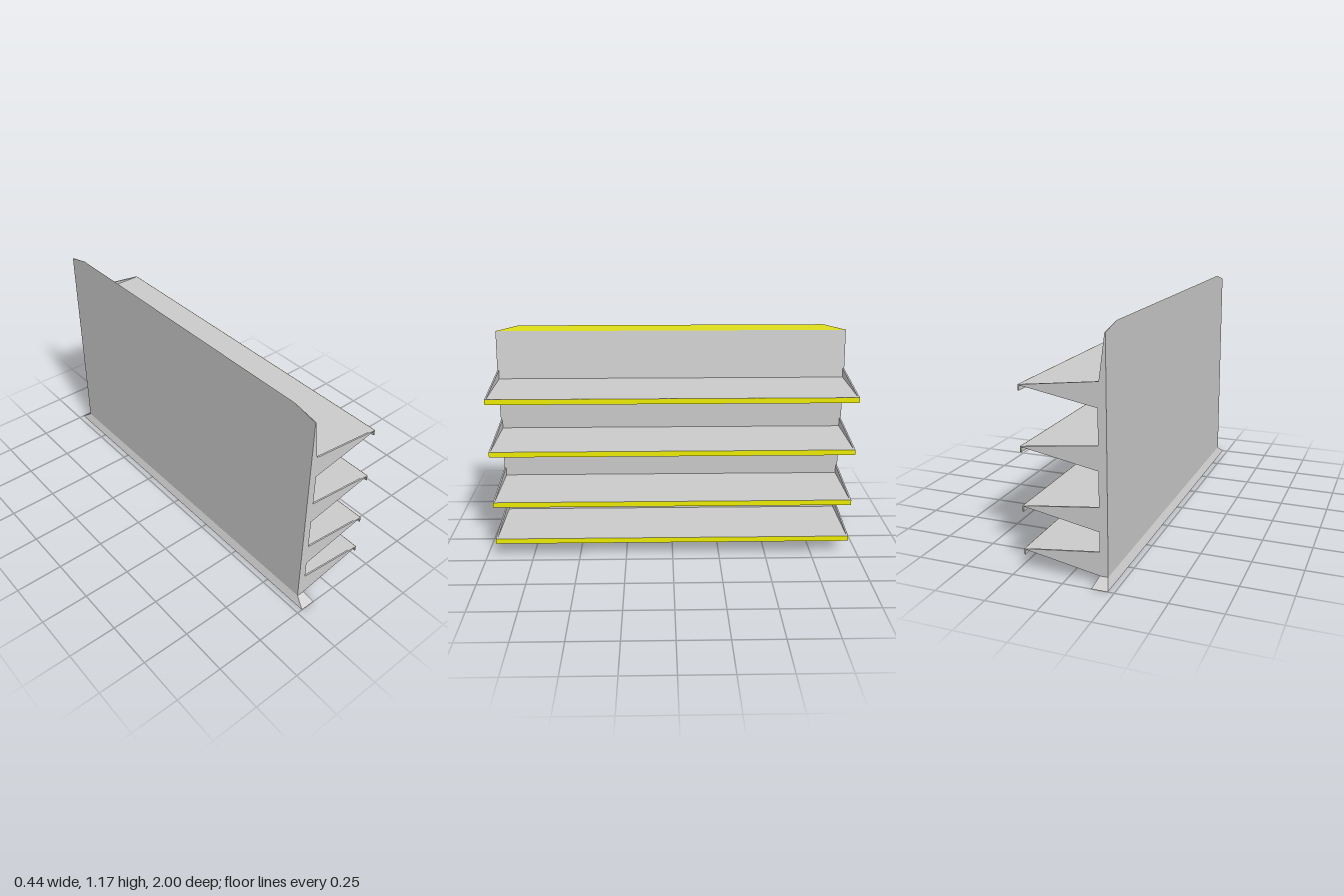
import * as THREE from 'three';
import { ConvexGeometry } from 'three/addons/geometries/ConvexGeometry.js';

const grey = new THREE.MeshStandardMaterial({ color: 0xcccccc, flatShading: true });
const yellow = new THREE.MeshStandardMaterial({ color: 0xeeee00, flatShading: true, side: THREE.DoubleSide });

const HALF = 0.945;                            // half length of the shelving
const BACK = -0.2, FACE = -0.16, FRONT = 0.21; // x of rear, panel face and shelf front
const TOP = 1.175, SHOULDER = 1.145;
const SHELF_Y = [0.11, 0.323, 0.607, 0.89];
const topShelf = SHELF_Y[3];
// x of the tapering panel face above the top shelf
const taperX = (y) => FACE + (BACK - FACE) * (y - topShelf) / (TOP - topShelf);

export function createModel() {
  const model = new THREE.Group();

  const add = (parent, name, geometry, material = grey) => {
    const mesh = new THREE.Mesh(geometry, material);
    mesh.name = name;
    parent.add(mesh);
    return mesh;
  };

  // Extrude an x-y profile along z, from z0 for a given depth
  const extrudeZ = (points, z0, depth) => {
    const shape = new THREE.Shape(points.map(([x, y]) => new THREE.Vector2(x, y)));
    return new THREE.ExtrudeGeometry(shape, { depth, bevelEnabled: false }).translate(0, 0, z0);
  };

  // Box given by its limits in x and y, spanning the full length
  const longBox = (x0, x1, y0, y1) =>
    new THREE.BoxGeometry(x1 - x0, y1 - y0, 2 * HALF).translate((x0 + x1) / 2, (y0 + y1) / 2, 0);

  // Splayed foot under the panel
  const foot = [];
  for (const s of [-1, 1]) {
    foot.push(new THREE.Vector3(-0.22, 0, s), new THREE.Vector3(-0.14, 0, s));
    foot.push(new THREE.Vector3(BACK, 0.04, s * HALF), new THREE.Vector3(FACE, 0.04, s * HALF));
  }
  add(model, 'baseFoot', new ConvexGeometry(foot));

  // Back panel, tapering above the top shelf
  add(model, 'backPanel', extrudeZ([
    [BACK, 0.04], [FACE, 0.04], [FACE, topShelf], [taperX(SHOULDER), SHOULDER], [BACK, SHOULDER],
  ], -HALF, 2 * HALF));

  // Top of the panel with clipped corners
  const cap = [];
  for (const s of [-1, 1]) {
    cap.push(new THREE.Vector3(BACK, SHOULDER, s * HALF));
    cap.push(new THREE.Vector3(taperX(SHOULDER), SHOULDER, s * HALF));
    cap.push(new THREE.Vector3(BACK, TOP, s * 0.82));
  }
  add(model, 'panelCap', new ConvexGeometry(cap));

  // Yellow strip on the sloping front of the cap
  const e = 0.001, x0 = taperX(SHOULDER) + e, x1 = BACK + e;
  const strip = new THREE.BufferGeometry();
  strip.setAttribute('position', new THREE.Float32BufferAttribute([
    x0, SHOULDER, HALF, x0, SHOULDER, -HALF, x1, TOP, -0.82, x1, TOP, 0.82], 3));
  strip.setIndex([0, 1, 2, 0, 2, 3]);
  strip.computeVertexNormals();
  add(model, 'topStrip', strip, yellow);

  // Shelves, each with a front lip, yellow edge and two end brackets
  for (const y of SHELF_Y) {
    const shelf = new THREE.Group();
    shelf.name = 'shelf';
    model.add(shelf);
    add(shelf, 'shelfBoard', longBox(FACE, FRONT, y - 0.005, y));
    add(shelf, 'shelfLip', longBox(FRONT, FRONT + 0.005, y - 0.028, y));
    add(shelf, 'shelfEdge', new THREE.PlaneGeometry(2 * HALF, 0.028)
      .rotateY(Math.PI / 2).translate(FRONT + 0.006, y - 0.014, 0), yellow);

    const topX = y === topShelf ? taperX(y + 0.046) : FACE;
    const profile = [[FACE, y - 0.07], [FRONT, y - 0.003], [FRONT, y], [topX, y + 0.046], [FACE, y]];
    for (const z of [-HALF, HALF - 0.008]) add(shelf, 'endBracket', extrudeZ(profile, z, 0.008));
  }

  return model;
}
